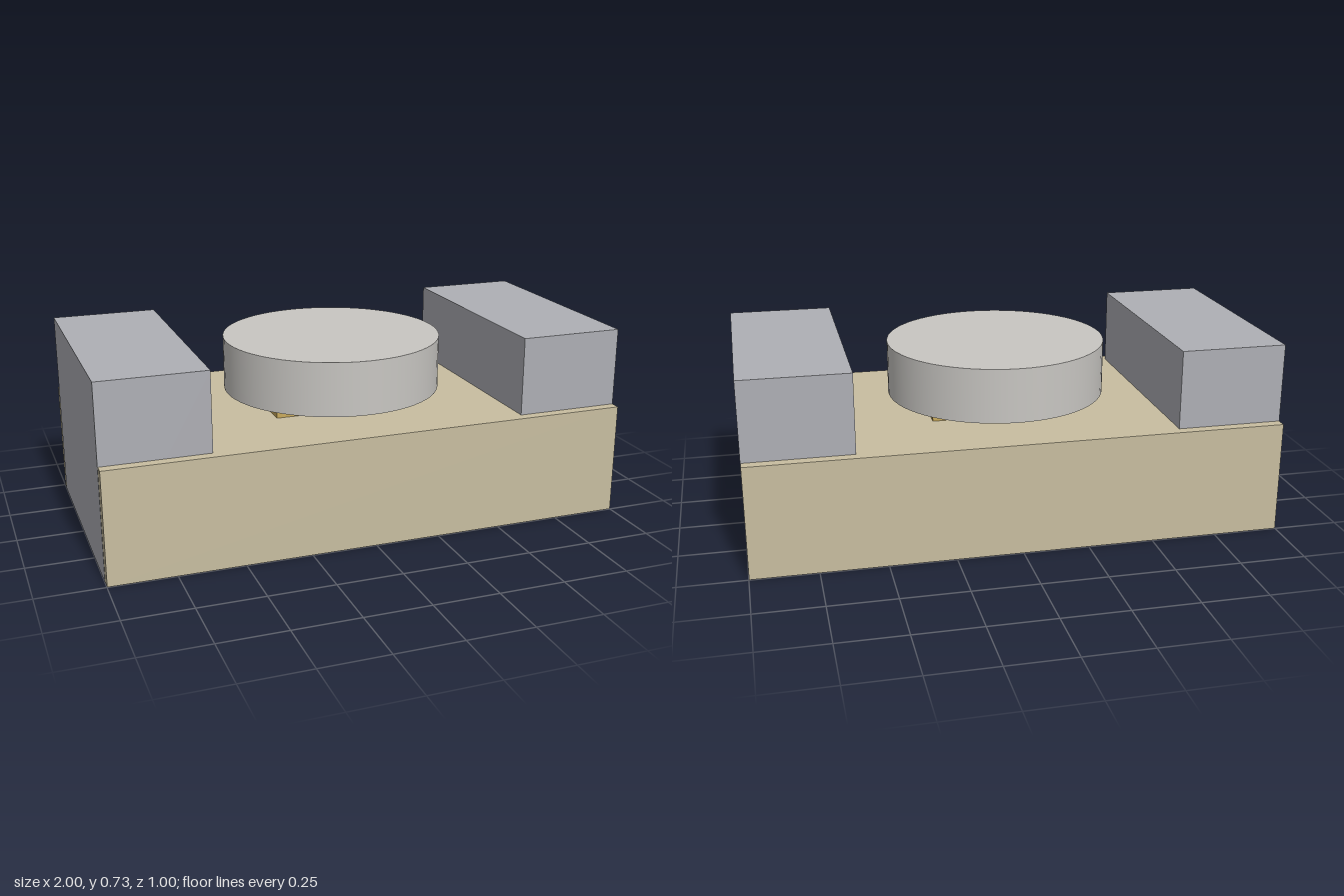
import * as THREE from 'three';

const paint = (name, color) => {
  const m = new THREE.MeshStandardMaterial({ color });
  m.name = name;
  return m;
};

export function createModel() {
  const tan = paint('tan', 0xc8bea0);
  const grey = paint('blue grey', 0xaeafb5);
  const silver = paint('silver', 0xc8c6c2);
  const gold = paint('gold', 0xc9aa5c);
  const model = new THREE.Group();
  model.name = 'model';

  const add = (name, geometry, material, x, y) => {
    const mesh = new THREE.Mesh(geometry, material);
    mesh.name = name;
    mesh.position.set(x, y, 0);
    model.add(mesh);
  };

  // Base body, a hair smaller than the end blocks so no faces coincide
  add('base', new THREE.BoxGeometry(1.998, 0.427, 1), tan, 0, 0.2145);

  // Full-height terminal blocks, one at each end
  for (const [side, s] of [['left', 1], ['right', -1]]) {
    add(side + 'EndBlock', new THREE.BoxGeometry(0.4, 0.727, 0.92), grey, s * 0.8, 0.3635);
  }

  // Raised pad carrying the round cap
  add('pad', new THREE.BoxGeometry(0.56, 0.065, 0.36), gold, 0, 0.4565);
  add('roundCap', new THREE.CylinderGeometry(0.42, 0.42, 0.205, 64), silver, 0, 0.5875);

  return model;
}
